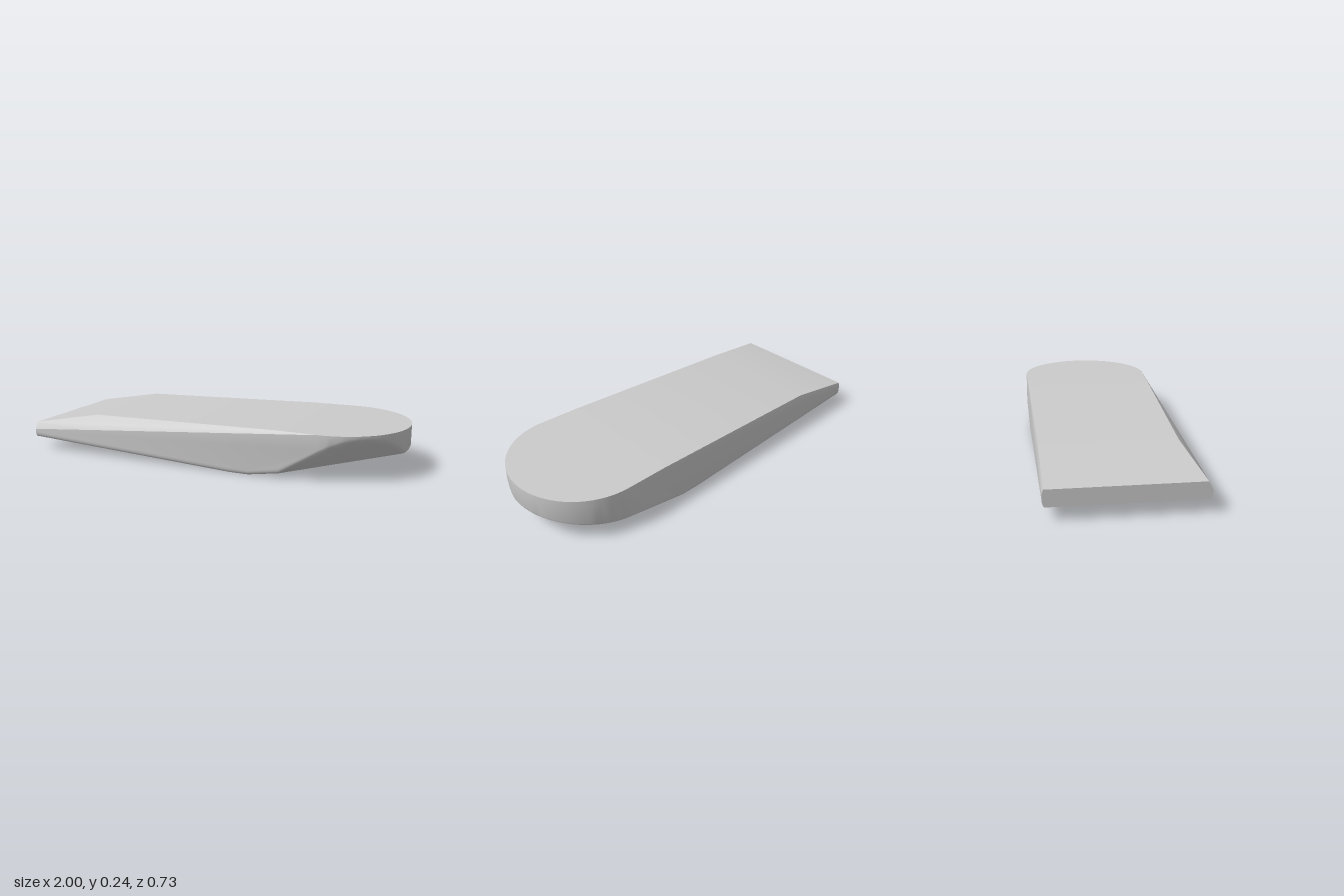
import * as THREE from 'three';
import { ConvexGeometry } from 'three/addons/geometries/ConvexGeometry.js';
import { toCreasedNormals } from 'three/addons/utils/BufferGeometryUtils.js';

const R = 0.364;        // half width and radius of the round end
const CX = 1 - R;       // centre of the round end
const TOP = 0.24;

// underside: falls gently from the square end, then rises to the round end
const keel = (x) => Math.max(0, 0.065 - 0.055 * (x + 1), 0.162 * (x - 0.28));
// oblique undercut on the front corner of the round end
const undercut = (x, z) => -0.53 + 0.593 * x + 0.833 * z;
const underside = (x, z) => Math.max(keel(x), undercut(x, z));

export function createModel() {
  const points = [];
  const add = (x, y, z) => points.push(new THREE.Vector3(x, y, z));

  // round end: vertical rim with a softened lower edge
  const steps = 40;
  for (let i = 0; i <= steps; i++) {
    const a = -Math.PI / 2 + (Math.PI * i) / steps;
    const c = Math.cos(a), s = Math.sin(a);
    add(CX + R * c, TOP, R * s);
    for (const [inset, lift] of [[0, 0.016], [0.004, 0.006], [0.014, 0]]) {
      const x = CX + (R - inset) * c, z = (R - inset) * s;
      add(x, underside(x, z) + lift, z);
    }
  }

  // rounded lower edges along both long sides
  for (const x of [-1, 0.18, 0.28, 0.44]) {
    for (const side of [-1, 1]) {
      for (let i = 0; i <= 5; i++) {
        const a = (i / 5) * Math.PI / 2;
        add(x, keel(x) + 0.03 * (1 - Math.sin(a)), side * (R - 0.013 * (1 - Math.cos(a))));
      }
    }
  }

  // front bevel: upper edge, then lower edge on the wall
  add(-1, 0.145, 0.345);
  add(-0.63, 0.21, 0.3);
  add(-1, 0.108, R);
  add(-0.63, 0.138, R);

  // back side: very narrow bevel
  add(-1, 0.145, -0.358);
  add(-0.63, 0.21, -0.358);
  add(-1, 0.125, -R);
  add(-0.63, 0.18, -R);

  // upper surface flattens out towards the round end
  add(0.4, 0.239, -R + 0.002);
  add(0.4, 0.239, 0.352);

  const blade = new THREE.Mesh(
    toCreasedNormals(new ConvexGeometry(points), 0.4),
    new THREE.MeshStandardMaterial({ color: 0xcccccc })
  );
  blade.name = 'bevelledBlade';

  const group = new THREE.Group();
  group.name = 'roundEndedBlade';
  group.add(blade);
  return group;
}
